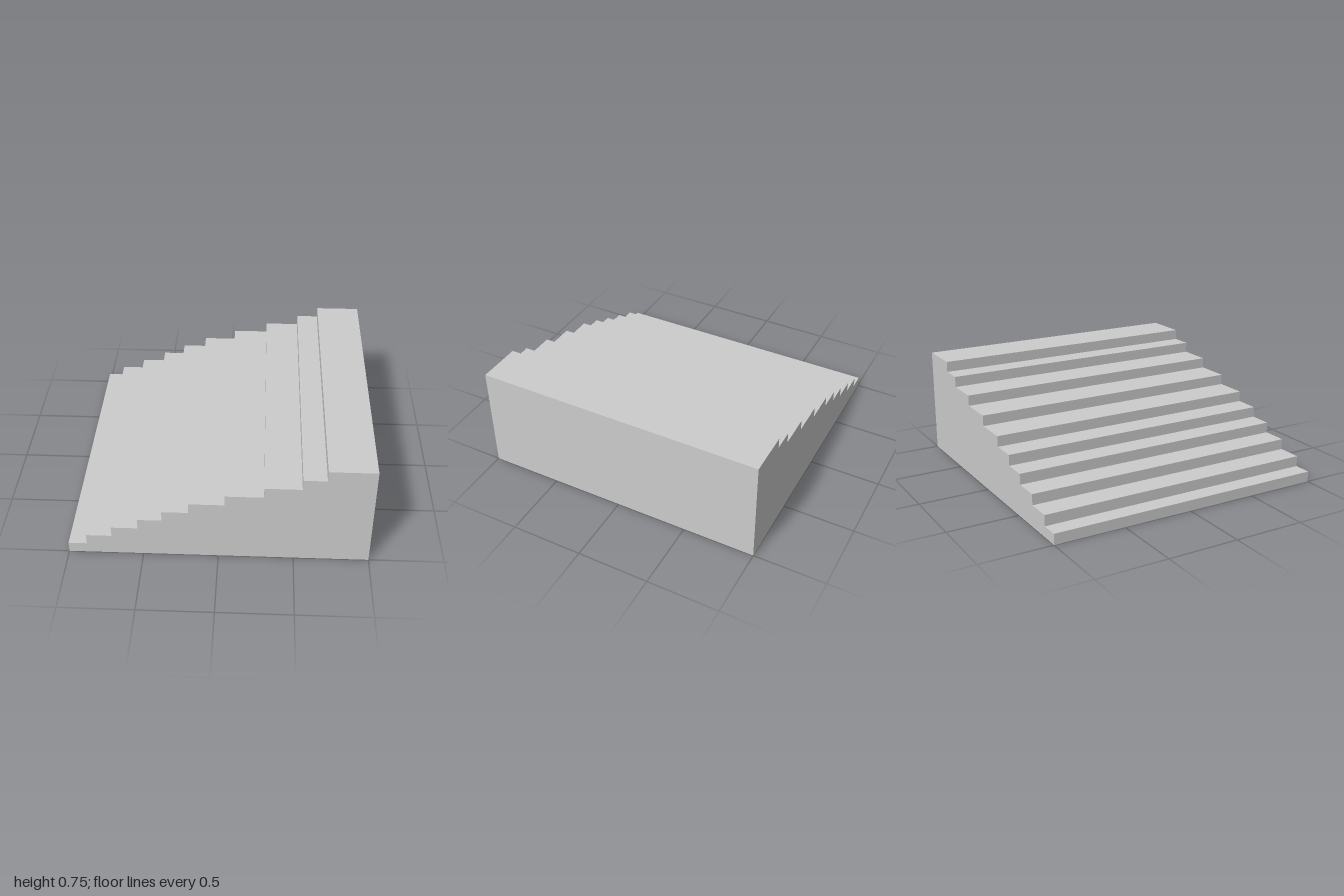
import * as THREE from 'three';

export function createModel() {
  const group = new THREE.Group();
  group.name = 'staircase';

  const rise = 0.075;
  const depth = 2;
  // x position of each riser, from the lowest step to the top landing
  const risers = [-1, -0.877, -0.706, -0.53, -0.368, -0.193, 0.043, 0.294, 0.535, 0.688];

  // Stepped side profile, closed along the base and the tall end
  const profile = new THREE.Shape();
  profile.moveTo(-1, 0);
  profile.lineTo(1, 0);
  profile.lineTo(1, rise * risers.length);
  for (let i = risers.length - 1; i >= 0; i--) {
    profile.lineTo(risers[i], rise * (i + 1));
    if (i > 0) profile.lineTo(risers[i], rise * i);
  }
  profile.closePath();

  // Solid flight of steps running the full width
  const geometry = new THREE.ExtrudeGeometry(profile, { depth, bevelEnabled: false });
  geometry.translate(0, 0, -depth / 2);
  const steps = new THREE.Mesh(
    geometry,
    new THREE.MeshStandardMaterial({ color: 0xcccccc, flatShading: true })
  );
  steps.name = 'steps';
  group.add(steps);

  return group;
}
